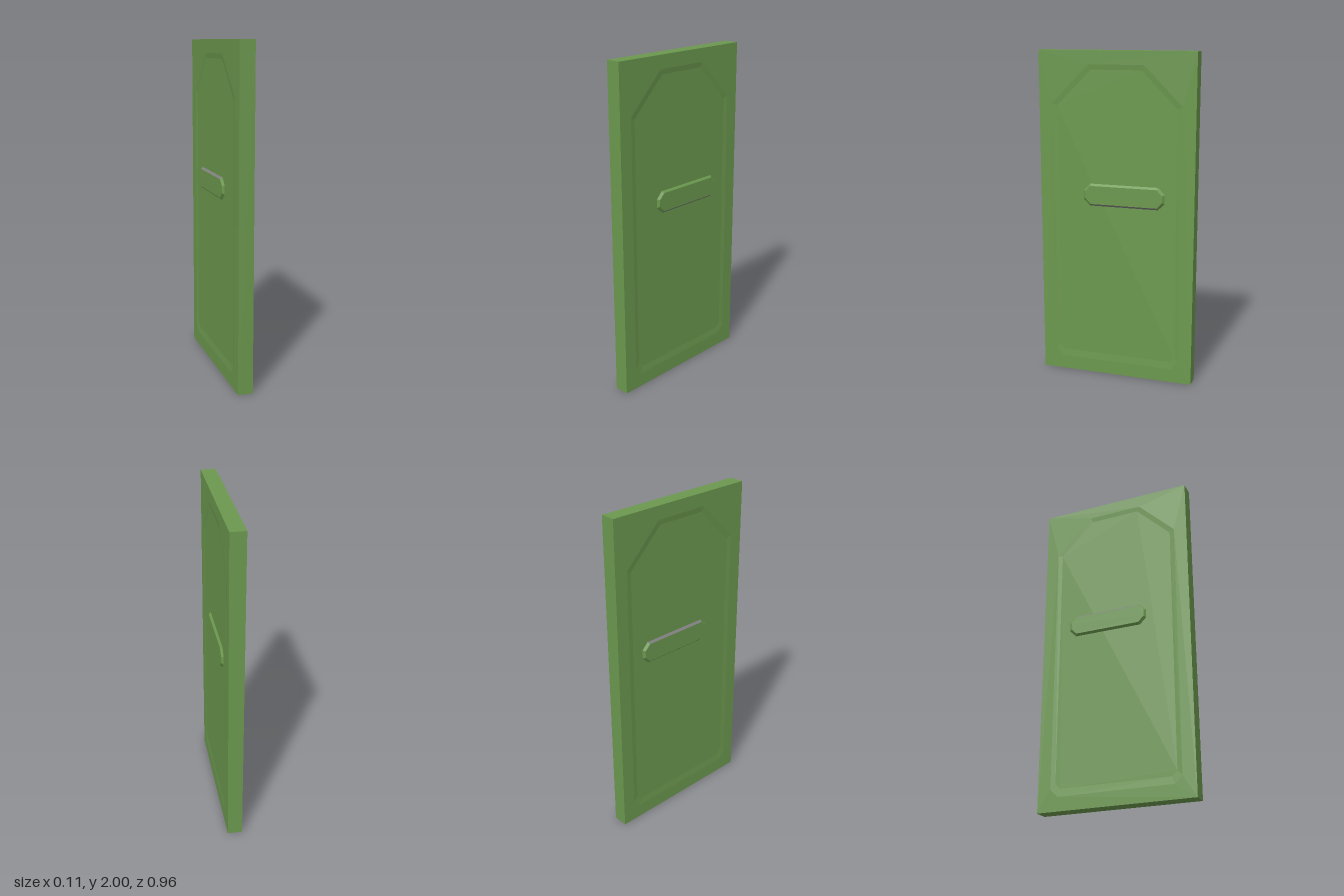
import * as THREE from 'three';

const HALF = 0.045;      // half thickness of the slab
const RECESS = 0.041;    // depth plane of the sunken panel
const HANDLE = 0.054;    // outer plane of the handle

// Eight-cornered outline, counter-clockwise, with separate top and bottom chamfers
function octagon(cx, halfWidth, y0, y1, low, top) {
  const l = cx - halfWidth, r = cx + halfWidth;
  return [
    [l + low, y0], [r - low, y0], [r, y0 + low], [r, y1 - top],
    [r - top, y1], [l + top, y1], [l, y1 - top], [l, y0 + low],
  ].map(([x, y]) => new THREE.Vector2(x, y));
}

// Sloping band between two outlines, limited to the chosen edges
function band(outer, inner, za, zb, edges) {
  const pos = [];
  for (const i of edges) {
    const j = (i + 1) % outer.length;
    const a = [outer[i].x, outer[i].y, za], b = [outer[j].x, outer[j].y, za];
    const c = [inner[j].x, inner[j].y, zb], d = [inner[i].x, inner[i].y, zb];
    pos.push(...a, ...b, ...c, ...a, ...c, ...d);
  }
  const g = new THREE.BufferGeometry();
  g.setAttribute('position', new THREE.Float32BufferAttribute(pos, 3));
  g.computeVertexNormals();
  return g;
}

export function createModel() {
  const green = new THREE.MeshStandardMaterial({ color: 0x6b984e });
  green.name = 'green';
  const grey = new THREE.MeshStandardMaterial({ color: 0x808080 });
  grey.name = 'grey';

  const model = new THREE.Group();
  model.name = 'door';
  const add = (parent, name, geometry, material) => {
    const mesh = new THREE.Mesh(geometry, material);
    mesh.name = name;
    parent.add(mesh);
    return mesh;
  };
  const cap = (points, z) => new THREE.ShapeGeometry(new THREE.Shape(points)).translate(0, 0, z);

  // Slab frame around the panel opening
  const rim = octagon(0, 0.4, 0.085, 1.92, 0.045, 0.23);
  const panel = octagon(0, 0.37, 0.13, 1.89, 0.03, 0.215);
  const slab = new THREE.Shape([[-0.48, 0], [0.48, 0], [0.48, 2], [-0.48, 2]]
    .map(([x, y]) => new THREE.Vector2(x, y)));
  slab.holes.push(new THREE.Path(rim));
  const frame = add(model, 'frame',
    new THREE.ExtrudeGeometry(slab, { depth: 2 * HALF, bevelEnabled: false }).translate(0, 0, -HALF), green);
  frame.rotation.y = Math.PI / 2;

  // Sunken panel and handle on each face
  const all = [0, 1, 2, 3, 4, 5, 6, 7];
  for (const side of [1, -1]) {
    const face = new THREE.Group();
    face.name = side > 0 ? 'leftFace' : 'rightFace';
    face.rotation.y = side * Math.PI / 2;
    model.add(face);

    add(face, 'panelBevel', band(rim, panel, HALF, RECESS, all), green);
    add(face, 'panel', cap(panel, RECESS), green);

    const base = octagon(side * 0.048, 0.252, 1.08, 1.215, 0.04, 0.04);
    const crown = octagon(side * 0.048, 0.24, 1.092, 1.203, 0.035, 0.035);
    const greyEdge = side > 0 ? 0 : 4; // long bevel: lower on one face, upper on the other
    add(face, 'handleBevel', band(base, crown, RECESS, HANDLE, all.filter((i) => i !== greyEdge)), green);
    add(face, 'handleGrip', band(base, crown, RECESS, HANDLE, [greyEdge]), grey);
    add(face, 'handle', cap(crown, HANDLE), green);
  }
  return model;
}
